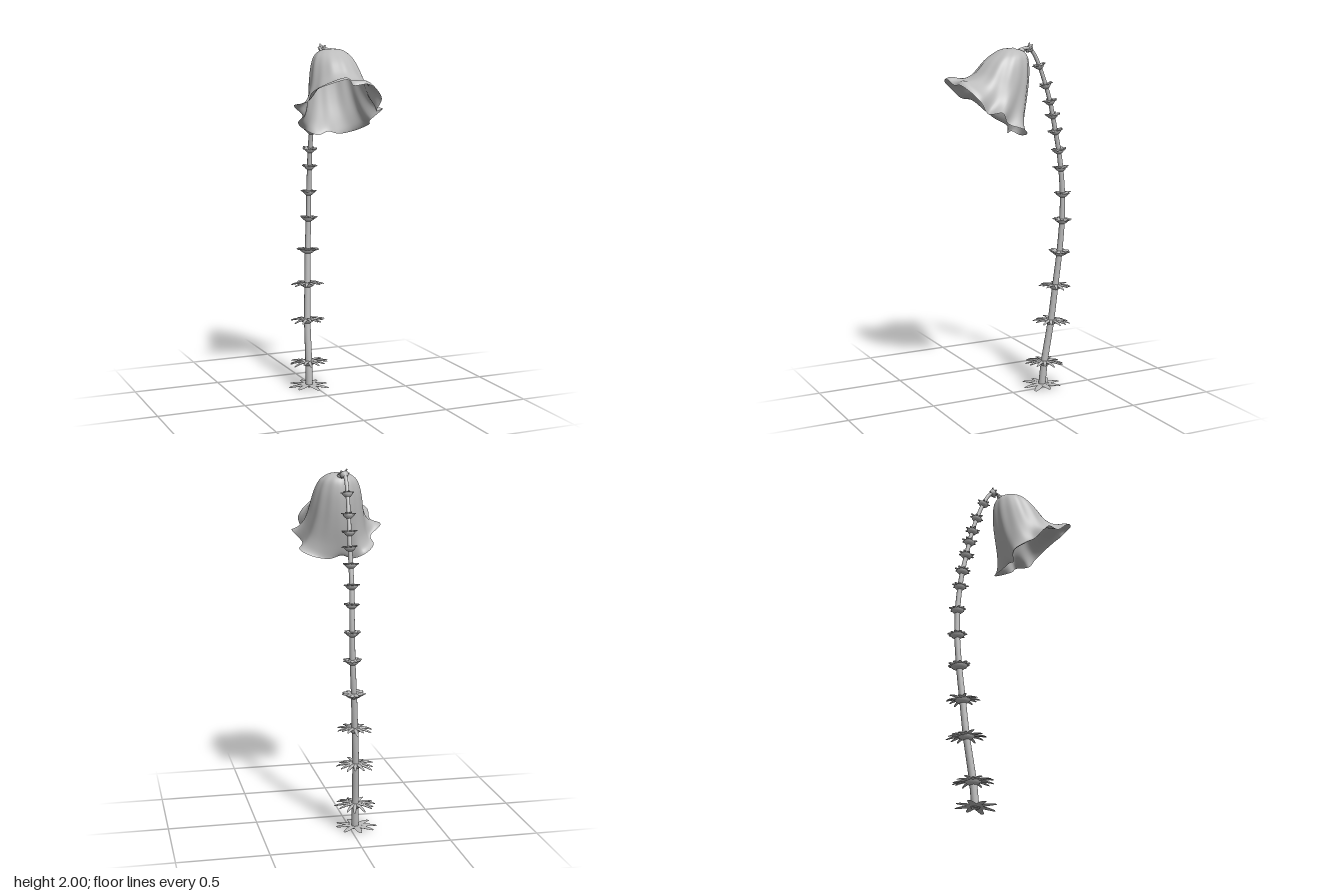
import * as THREE from 'three';
import { mergeGeometries } from 'three/addons/utils/BufferGeometryUtils.js';

const V = (x, y, z) => new THREE.Vector3(x, y, z);

// small seeded generator for natural variation
let seed = 7;
const rand = () => (seed = (seed * 16807) % 2147483647) / 2147483647;

// stem centre line, bottom to flower
const stemCurve = new THREE.CatmullRomCurve3([
  V(-0.03, 0, -0.205), V(-0.027, 0.145, -0.22), V(-0.02, 0.39, -0.258), V(-0.01, 0.6, -0.28),
  V(0, 0.8, -0.3), V(0.01, 0.985, -0.31), V(0.012, 1.14, -0.31), V(0.012, 1.29, -0.298),
  V(0.01, 1.39, -0.285), V(0.01, 1.5, -0.263), V(0.01, 1.67, -0.227), V(0.008, 1.76, -0.2),
  V(0.006, 1.87, -0.16), V(0.006, 1.945, -0.12), V(0.01, 1.968, -0.09), V(0.016, 1.968, -0.06), V(0.02, 1.955, -0.03)
]);
const stemRadius = u => 0.021 - 0.011 * u;

// tapered tube
function stemGeometry() {
  const n = 90, sides = 12;
  const geo = new THREE.TubeGeometry(stemCurve, n, 1, sides, false);
  const pos = geo.attributes.position, p = V(0, 0, 0);
  for (let i = 0; i <= n; i++) {
    const c = stemCurve.getPointAt(i / n);
    for (let j = 0; j <= sides; j++) {
      const k = i * (sides + 1) + j;
      p.fromBufferAttribute(pos, k).sub(c).multiplyScalar(stemRadius(i / n)).add(c);
      pos.setXYZ(k, p.x, p.y, p.z);
    }
  }
  return geo;
}

// one thick leaf along +x with a rounded tip, rising and then drooping
function leafGeometry(length, width, rise, droop) {
  const profile = [[1, 0], [1.1, 0.3], [1, 0.55], [0.75, 0.8], [0.5, 0.94], [0, 1]];
  const geo = new THREE.LatheGeometry(profile.map(([r, t]) => new THREE.Vector2(r * width, t * length)), 8);
  geo.rotateZ(-Math.PI / 2).scale(1, 0.55, 1);
  const pos = geo.attributes.position;
  for (let i = 0; i < pos.count; i++) {
    const t = pos.getX(i) / length;
    pos.setY(i, pos.getY(i) + rise * t - droop * t * t);
  }
  geo.computeVertexNormals();
  return geo;
}

// ring of leaves around a saucer-shaped collar
function whorlGeometry({ radius, count, width, rise, droop, collar, stem }) {
  const parts = [new THREE.LatheGeometry([
    [stem, -0.02], [collar * 0.65, -0.013], [collar, 0], [collar * 0.8, 0.006], [stem * 0.8, 0.008]
  ].map(([x, y]) => new THREE.Vector2(x, y)), 16)];
  for (let i = 0; i < count; i++) {
    const leaf = leafGeometry(radius * (0.85 + 0.15 * rand()), width, rise * (0.7 + 0.6 * rand()), droop);
    leaf.rotateY((i + 0.3 * (rand() - 0.5)) / count * Math.PI * 2);
    parts.push(leaf);
  }
  return mergeGeometries(parts);
}

// smooth values through a few control pairs
const spline = list => new THREE.CatmullRomCurve3(list.map(([a, b]) => V(a, b, 0)));

// wavy lip of the bell, from the front round by the left side
const rim = new THREE.CatmullRomCurve3([
  V(0, 1.81, 0.355), V(0.08, 1.815, 0.357), V(0.145, 1.78, 0.33), V(0.195, 1.72, 0.29), V(0.185, 1.645, 0.24),
  V(0.25, 1.645, 0.19), V(0.2, 1.58, 0.13), V(0.23, 1.55, 0.05), V(0.165, 1.515, 0), V(0.07, 1.5, -0.005),
  V(0, 1.515, 0.01), V(-0.06, 1.497, 0.005), V(-0.13, 1.53, -0.03), V(-0.185, 1.57, 0.025), V(-0.18, 1.61, 0.08),
  V(-0.25, 1.67, 0.13), V(-0.21, 1.7, 0.22), V(-0.205, 1.765, 0.285), V(-0.125, 1.815, 0.355), V(-0.04, 1.84, 0.38)
], true);

// bell built from loops spanning a back and a front profile (z, y) and a half width, opening into the lip
function bellGeometry() {
  const back = spline([[-0.004, 1.968], [-0.04, 1.957], [-0.066, 1.93], [-0.076, 1.87], [-0.071, 1.78],
    [-0.056, 1.69], [-0.036, 1.61], [-0.022, 1.55], [-0.012, 1.515]]);
  const front = spline([[0.02, 1.972], [0.075, 1.965], [0.13, 1.935], [0.17, 1.905], [0.203, 1.87],
    [0.228, 1.835], [0.25, 1.81], [0.28, 1.8], [0.31, 1.795]]);
  const width = spline([[0, 0.008], [0.125, 0.062], [0.25, 0.1], [0.375, 0.122], [0.5, 0.138],
    [0.625, 0.148], [0.75, 0.157], [0.875, 0.168], [1, 0.18]]);
  const rows = 40, cols = 120, pos = [], index = [];
  for (let i = 0; i <= rows; i++) {
    const t = i / rows, b = back.getPoint(t), f = front.getPoint(t), w = width.getPoint(t).y;
    const flare = Math.pow(Math.max(0, (t - 0.45) / 0.55), 2.2);
    const curl = Math.pow(Math.max(0, (t - 0.88) / 0.12), 2);
    const cz = (b.x + f.x) / 2, cy = (b.y + f.y) / 2, hz = (f.x - b.x) / 2, hy = (f.y - b.y) / 2;
    for (let j = 0; j < cols; j++) {
      const a = j / cols * Math.PI * 2;
      const r = 1 + Math.sin(Math.PI * t) * (0.014 * Math.sin(9 * a + 0.6) + 0.01 * Math.sin(14 * a + 2));
      const u = Math.cos(a) * r, v = Math.sin(a) * r;
      const p = V(0.015 + w * v, cy + hy * u, cz + hz * u).lerp(rim.getPoint(j / cols), flare);
      // front edge rolls over
      p.y -= 0.03 * curl * Math.max(0, Math.cos(a));
      pos.push(p.x, p.y, p.z);
    }
  }
  for (let i = 0; i < rows; i++) for (let j = 0; j < cols; j++) {
    const k = (j + 1) % cols, p = i * cols + j, q = i * cols + k, m = p + cols, n = q + cols;
    index.push(p, m, q, q, m, n);
  }
  // close the crown
  const top = pos.length / 3;
  pos.push(0.015, 1.973, 0.008);
  for (let j = 0; j < cols; j++) index.push(top, j, (j + 1) % cols);
  const geo = new THREE.BufferGeometry();
  geo.setAttribute('position', new THREE.Float32BufferAttribute(pos, 3));
  geo.setIndex(index);
  geo.computeVertexNormals();
  return geo;
}

export function createModel() {
  seed = 7;
  const model = new THREE.Group();
  model.name = 'bellFlower';
  const grey = new THREE.MeshStandardMaterial({ color: 0xbcbcbc, side: THREE.DoubleSide });
  grey.name = 'plainGrey';
  const add = (name, geo) => {
    const mesh = new THREE.Mesh(geo, grey);
    mesh.name = name;
    model.add(mesh);
    return mesh;
  };

  add('stem', stemGeometry());
  add('flowerBell', bellGeometry());
  // swelling where the stem meets the bell
  const joint = add('flowerJoint', new THREE.SphereGeometry(0.016, 16, 12));
  joint.position.set(0.02, 1.956, -0.04);
  joint.scale.z = 1.3;

  // leaf whorls: height, radius, leaf count
  const whorls = [
    [0.008, 0.13, 8], [0.143, 0.125, 14], [0.388, 0.115, 14], [0.597, 0.102, 13], [0.797, 0.068, 11],
    [0.985, 0.058, 10], [1.14, 0.054, 9], [1.29, 0.05, 9], [1.39, 0.05, 9], [1.5, 0.05, 8],
    [1.59, 0.048, 8], [1.67, 0.047, 8], [1.76, 0.045, 7], [1.87, 0.043, 7], [1.966, 0.036, 6]
  ];
  whorls.forEach(([y, radius, count], i) => {
    let u = 0;
    while (u < 1 && stemCurve.getPointAt(u).y < y) u += 0.001;
    const base = i === 0, long = radius > 0.08;
    const mesh = add('leafWhorl' + (i + 1), whorlGeometry({
      radius, count, stem: stemRadius(u),
      width: base ? 0.018 : long ? 0.01 : radius * 0.2,
      rise: base ? 0.03 : long ? 0.03 : 0.012,
      droop: base ? 0.035 : long ? 0.034 : 0.005,
      collar: base ? 0.03 : long ? 0.045 : radius * 0.7
    }));
    mesh.position.copy(stemCurve.getPointAt(u));
    if (base) {
      mesh.scale.y = 0.45;
      mesh.position.y = 0.009;
    } else {
      const dir = stemCurve.getTangentAt(u).lerp(V(0, 1, 0), long ? 0.6 : 0.15).normalize();
      mesh.quaternion.setFromUnitVectors(V(0, 1, 0), dir);
    }
  });
  return model;
}
